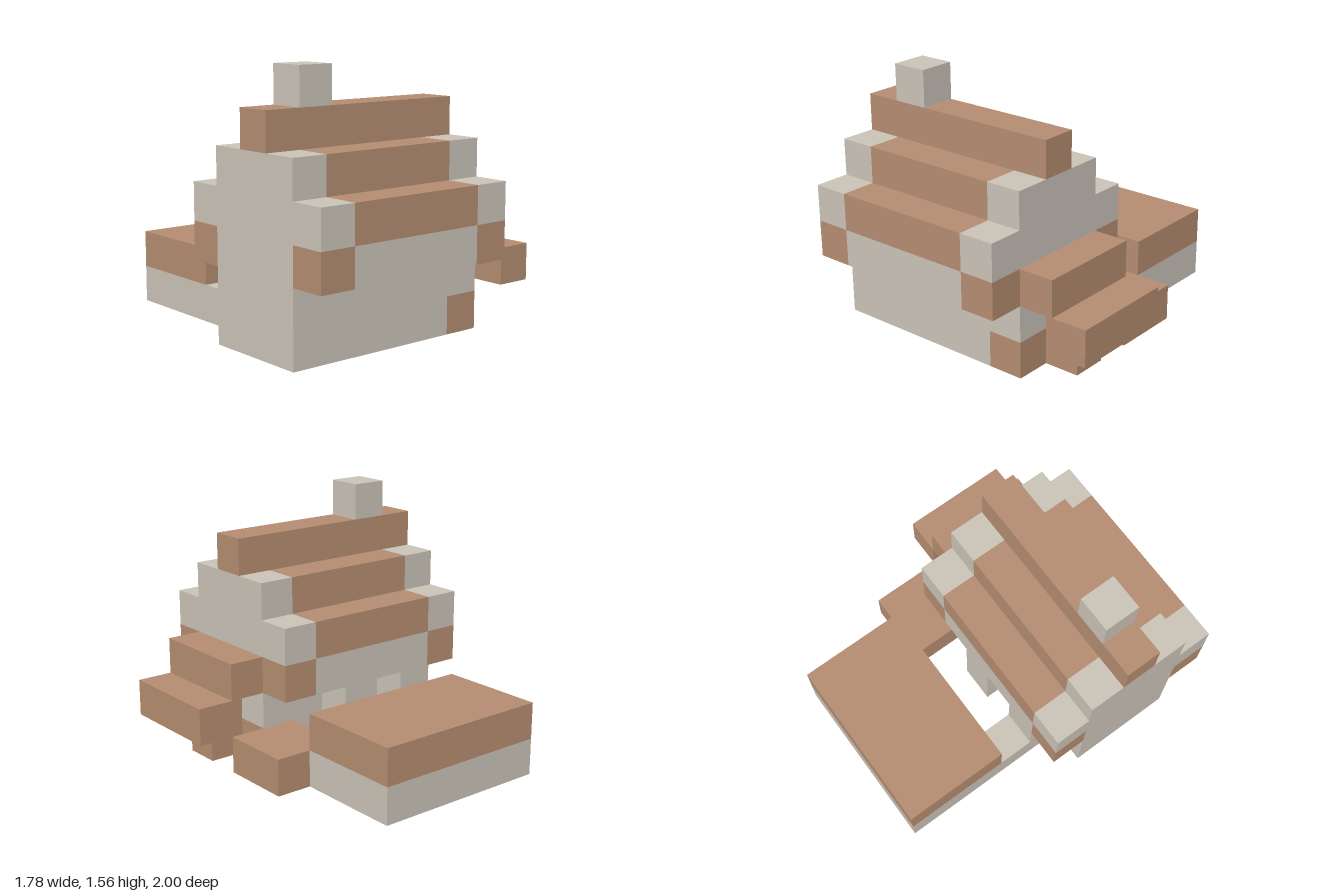
import * as THREE from 'three';
import { mergeGeometries } from 'three/addons/utils/BufferGeometryUtils.js';

const U = 2 / 9; // edge of one block
const SIZE = [8, 7, 9]; // blocks along x, y, z

const stone = new THREE.MeshStandardMaterial({ color: 0xc9c2b7, side: THREE.DoubleSide });
stone.name = 'stone';
const wood = new THREE.MeshStandardMaterial({ color: 0xb48c70, side: THREE.DoubleSide });
wood.name = 'wood';

// Each box: first and last block index on x, y and z
const PARTS = [
  ['houseWalls', stone, [[0, 4, 0, 0, 5, 7], [0, 5, 1, 3, 5, 7]]],
  ['wallFooting', wood, [[5, 5, 0, 0, 5, 7]]],
  ['gableEnds', stone, [[0, 0, 4, 4, 5, 7], [5, 5, 4, 4, 5, 7]]],
  ['upperRoof', wood, [[1, 4, 4, 4, 5, 7]]],
  ['ridge', wood, [[0, 5, 5, 5, 6, 6]]],
  ['chimney', stone, [[1, 1, 6, 6, 6, 6]]],
  ['backDoorPosts', stone, [[1, 1, 0, 1, 4, 4], [3, 3, 0, 1, 4, 4]]],
  ['porchBase', stone, [[1, 5, 0, 0, 0, 2]]],
  ['porchTop', wood, [[1, 5, 1, 1, 0, 2]]],
  ['stoneLink', stone, [[1, 1, 0, 0, 3, 3]]],
  ['woodLink', wood, [[5, 6, 0, 0, 3, 4]]],
  ['sideRoof', wood, [[6, 6, 2, 2, 5, 7]]],
  ['sideEave', wood, [[7, 7, 1, 1, 5, 7]]],
  ['sidePost', wood, [[6, 6, 0, 1, 6, 6]]],
];
// Overhanging eaves, the same at the back and the front
for (const [side, k] of [['back', 4], ['front', 8]]) {
  PARTS.push(
    [side + 'EaveRoof', wood, [[1, 4, 3, 3, k, k]]],
    [side + 'EaveStoneEnds', stone, [[0, 0, 3, 3, k, k], [5, 5, 3, 3, k, k]]],
    [side + 'EaveWall', stone, [[1, 4, 2, 2, k, k]]],
    [side + 'EaveWoodEnds', wood, [[0, 0, 2, 2, k, k], [5, 5, 2, 2, k, k]]],
  );
}

// All block positions in a list of boxes
function cells(boxes) {
  const list = [];
  for (const [x0, x1, y0, y1, z0, z1] of boxes)
    for (let x = x0; x <= x1; x++)
      for (let y = y0; y <= y1; y++)
        for (let z = z0; z <= z1; z++) list.push([x, y, z]);
  return list;
}

// Block faces: outward direction and turn of a plane; blocks are open below
const FACES = [
  { dir: [1, 0, 0], rx: 0, ry: Math.PI / 2 },
  { dir: [-1, 0, 0], rx: 0, ry: -Math.PI / 2 },
  { dir: [0, 1, 0], rx: -Math.PI / 2, ry: 0 },
  { dir: [0, 0, 1], rx: 0, ry: 0 },
  { dir: [0, 0, -1], rx: 0, ry: Math.PI },
];

// Outer shell of a part, leaving out faces that touch another block
function shell(boxes, filled) {
  const quads = [];
  for (const cell of cells(boxes)) {
    for (const { dir, rx, ry } of FACES) {
      if (filled.has(cell.map((v, n) => v + dir[n]).join())) continue;
      const [x, y, z] = cell.map((v, n) => v + 0.5 + dir[n] / 2);
      quads.push(new THREE.PlaneGeometry(U, U).rotateX(rx).rotateY(ry)
        .translate((x - SIZE[0] / 2) * U, y * U, (z - SIZE[2] / 2) * U));
    }
  }
  return mergeGeometries(quads);
}

export function createModel() {
  const house = new THREE.Group();
  house.name = 'blockHouse';
  const filled = new Set(PARTS.flatMap(([, , boxes]) => cells(boxes).map((c) => c.join())));
  for (const [name, material, boxes] of PARTS) {
    const mesh = new THREE.Mesh(shell(boxes, filled), material);
    mesh.name = name;
    house.add(mesh);
  }
  return house;
}
